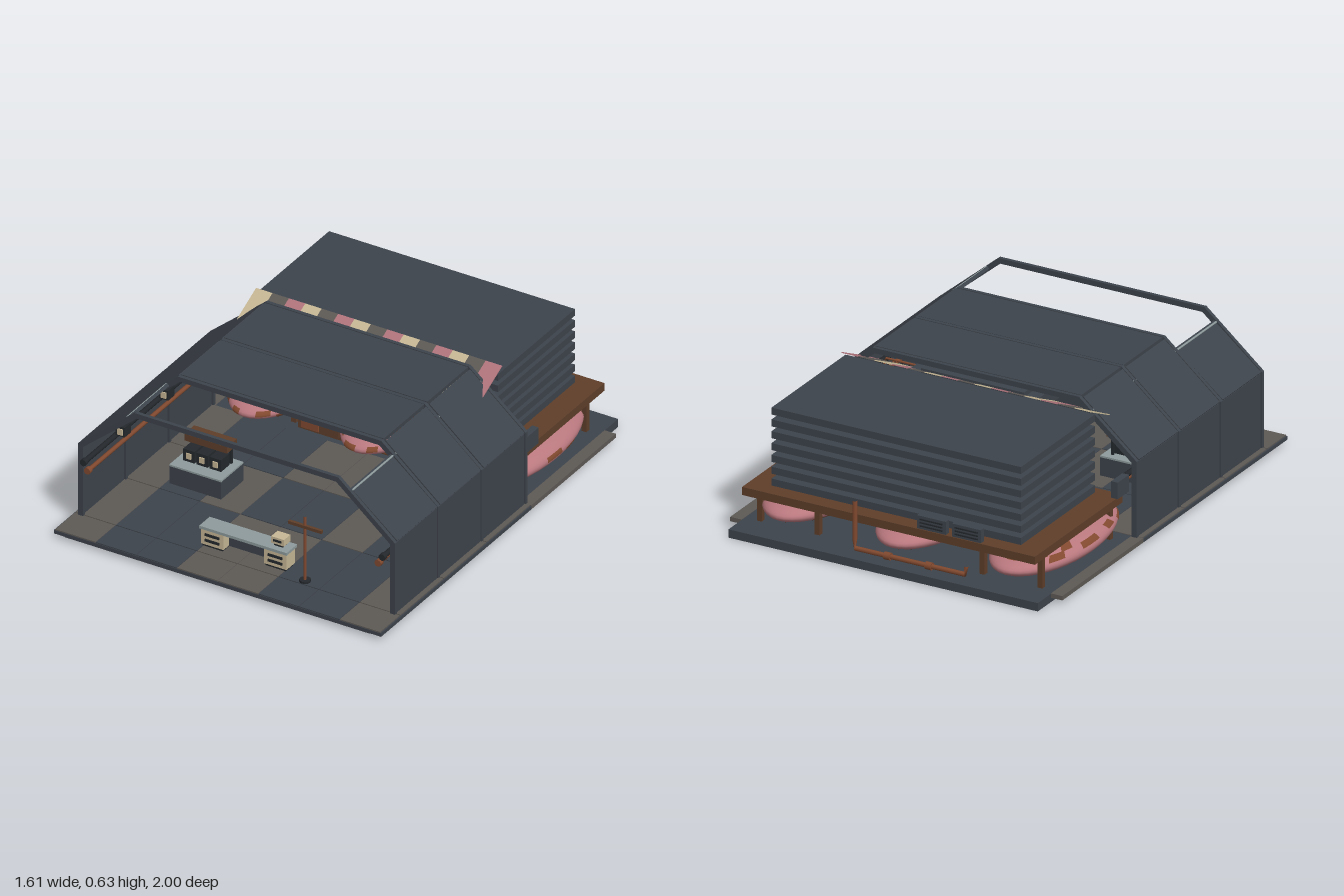
import * as THREE from 'three';

const mat = (name, color, side = THREE.FrontSide) => {
  const m = new THREE.MeshStandardMaterial({ color, side });
  m.name = name;
  return m;
};

export function createModel() {
  const slate = mat('slate', 0x3d434b), dark = mat('charcoal', 0x24282c), tile = mat('warm grey tile', 0x5d5955);
  const brown = mat('brown', 0x5e3e2a), copper = mat('copper', 0x81492f), pink = mat('pink', 0xb9787e);
  const cream = mat('cream', 0xc6b795), grey = mat('pale grey', 0x8d9a9b);
  const clothPink = mat('cloth pink', 0xb0747c, THREE.DoubleSide);
  const clothCream = mat('cloth cream', 0xc6b795, THREE.DoubleSide);
  const model = new THREE.Group();
  model.name = 'fieldHangar';

  const add = (name, geo, m, x = 0, y = 0, z = 0, parent = model) => {
    const mesh = new THREE.Mesh(geo, m);
    mesh.name = name;
    mesh.position.set(x, y, z);
    parent.add(mesh);
    return mesh;
  };
  // box given by its extents
  const box = (name, m, x0, x1, y0, y1, z0, z1) =>
    add(name, new THREE.BoxGeometry(x1 - x0, y1 - y0, z1 - z0), m, (x0 + x1) / 2, (y0 + y1) / 2, (z0 + z1) / 2);
  // bent pipe through straight runs
  const pipe = (name, m, r, pts) => {
    const path = new THREE.CurvePath();
    const v = pts.map(p => new THREE.Vector3(...p));
    for (let i = 1; i < v.length; i++) path.add(new THREE.LineCurve3(v[i - 1], v[i]));
    return add(name, new THREE.TubeGeometry(path, (v.length - 1) * 6, r, 8), m);
  };

  // base slabs and floor tiles
  box('rearPlatform', slate, -0.75, 0.75, 0, 0.038, -1, -0.1);
  box('frontPlatform', slate, -0.75, 0.75, 0.018, 0.034, -0.1, 1);
  box('floorSlab', slate, -0.805, 0.805, 0.02, 0.036, -0.21, 1);
  for (const s of [-1, 1]) {
    const a = s * 0.75, b = s * 0.805;
    box('sideWalkway', tile, Math.min(a, b), Math.max(a, b), 0.02, 0.04, -0.89, -0.21);
  }
  const rows = [[-0.21, 0.14], [0.145, 0.485], [0.49, 0.835], [0.84, 0.998]];
  rows.forEach(([z0, z1], r) => {
    for (let i = 0; i < 8; i++) {
      const x = -0.8 + i * 0.2;
      const warm = i === 0 || i === 7 || (r !== 1 && (i === 3 || i === 4)) || (r === 1 && (i === 2 || i === 5));
      box('floorTile', warm ? tile : slate, x + 0.001, x + 0.199, 0.036, 0.041, z0, z1);
    }
  });

  // hangar frames: one open arch profile extruded at each joint
  const outer = [[-0.78, 0.04], [-0.78, 0.39], [-0.5, 0.627], [0.5, 0.627], [0.78, 0.39], [0.78, 0.04]];
  const inner = [[0.755, 0.04], [0.755, 0.38], [0.49, 0.603], [-0.49, 0.603], [-0.755, 0.38], [-0.755, 0.04]];
  const arch = new THREE.Shape([...outer, ...inner].map(p => new THREE.Vector2(...p)));
  for (const z of [0.83, 0.483, 0.133, -0.222]) {
    add('archFrame', new THREE.ExtrudeGeometry(arch, { depth: 0.017, bevelEnabled: false }), slate, 0, 0, z);
  }

  // hangar skin panels
  const slope = (s, x1, y1, z0, z1) => {
    const x0 = 0.774, y0 = 0.387;
    const p = add('slopedPanel', new THREE.BoxGeometry(Math.hypot(x1 - x0, y1 - y0), 0.014, z1 - z0), slate,
      s * (x0 + x1) / 2, (y0 + y1) / 2, (z0 + z1) / 2);
    p.rotation.z = s * Math.atan2(y1 - y0, x1 - x0 );
    return p;
  };
  [[-0.2, 0.128], [0.153, 0.478], [0.503, 0.825]].forEach(([z0, z1], i) => {
    for (const s of [-1, 1]) {
      box('wallPanel', slate, s > 0 ? 0.762 : -0.776, s > 0 ? 0.776 : -0.762, 0.04, 0.385, z0, z1);
      slope(s, i === 2 ? 0.545 : 0.505, i === 2 ? 0.575 : 0.615, z0, z1);
    }
    if (i < 2) box('roofPanel', slate, -0.5, 0.5, 0.61, 0.627, z0, z1);
  });

  // wall pipes, lamps and end boxes on both sides
  for (const s of [-1, 1]) {
    pipe('roofRail', grey, 0.005, [[s * 0.557, 0.572, -0.22], [s * 0.557, 0.572, 0.83]]);
    pipe('upperWallPipe', dark, 0.012, [[s * 0.735, 0.325, -0.25], [s * 0.735, 0.325, 0.88]]);
    pipe('lowerWallPipe', copper, 0.01, [[s * 0.715, 0.29, -0.25], [s * 0.715, 0.29, 0.88]]);
    for (const y of [0.325, 0.29]) {
      add('pipeCap', new THREE.CylinderGeometry(0.016, 0.016, 0.02, 10), y > 0.3 ? dark : copper, s * (y > 0.3 ? 0.735 : 0.715), y, 0.87)
        .rotation.x = Math.PI / 2;
    }
    box('junctionBox', slate, s * 0.743 - 0.016, s * 0.743 + 0.016, 0.262, 0.338, -0.345, -0.25);
    for (const z of [0.65, 0.3, -0.05]) {
      box('lampHousing', dark, s * 0.68 - 0.022, s * 0.68 + 0.022, 0.365, 0.412, z - 0.03, z + 0.02);
      box('lampFace', cream, s * 0.68 - 0.013, s * 0.68 + 0.013, 0.373, 0.402, z + 0.02, z + 0.025);
      pipe('lampArm', dark, 0.005, [[s * 0.7, 0.39, z], [s * 0.76, 0.39, z]]);
    }
  }

  // soft bladders with darker patches under the rear deck
  for (const x of [-0.55, 0, 0.55]) {
    const bladder = new THREE.Group();
    bladder.name = 'bladder';
    bladder.position.set(x, 0.113, -0.52);
    bladder.scale.set(0.2, 0.072, 0.42);
    model.add(bladder);
    add('bladderBody', new THREE.SphereGeometry(1, 40, 24), pink, 0, 0, 0, bladder);
    for (let i = 0; i < 14; i++) {
      const phi = i * 2.4 + x, th = 0.75 + ((i * 7) % 5) * 0.28;
      add('bladderPatch', new THREE.SphereGeometry(1.008, 8, 6, phi, 0.2 + (i % 3) * 0.06, th, 0.3), copper, 0, 0, 0, bladder);
    }
  }

  // wooden deck, its front cabinets and posts
  box('deck', brown, -0.71, 0.71, 0.188, 0.225, -0.955, -0.22);
  box('cabinetRow', brown, -0.36, 0.36, 0.04, 0.188, -0.3, -0.24);
  for (let i = 0; i < 7; i++) {
    const x = -0.35 + i * 0.1;
    box('cabinetDoor', i % 2 ? brown : copper, x + 0.008, x + 0.092, 0.05, 0.178, -0.24, -0.234);
  }
  for (const x of [-0.68, -0.4, 0.4, 0.68]) for (const z of [-0.28, -0.85])
    box('deckPost', brown, x - 0.012, x + 0.012, 0.038, 0.19, z - 0.012, z + 0.012);

  // stacked slabs
  for (let i = 0; i < 7; i++) {
    const y = 0.246 + i * 0.0545;
    box('stackedSlab', slate, -0.605, 0.605, y - 0.016, y + 0.016, -0.89, -0.268);
  }
  // rear wall panels inside the hangar
  box('backPanel', slate, -0.39, 0.39, 0.345, 0.52, -0.255, -0.23);
  box('upperPanel', slate, -0.31, 0.31, 0.515, 0.58, -0.25, -0.06);
  box('panelCap', slate, -0.25, 0.25, 0.58, 0.6, -0.25, -0.06);
  box('sidePanel', slate, -0.525, -0.3, 0.395, 0.44, -0.255, -0.215);
  box('woodenHatch', brown, -0.11, 0.22, 0.235, 0.345, -0.262, -0.235);
  box('hatchSill', slate, -0.12, 0.225, 0.225, 0.238, -0.265, -0.215);

  // striped sloping awning
  const stripes = [clothCream, tile, clothPink];
  const n = 15, w = 1.21 / n;
  for (let i = 0; i < n; i++) {
    const s = add('awningStripe', new THREE.BoxGeometry(w, 0.004, 0.21), stripes[i % 3], -0.605 + (i + 0.5) * w, 0.568, -0.208);
    s.rotation.x = Math.atan2(0.09, 0.19);
  }

  // rear pipework and vents
  pipe('rearPipe', copper, 0.011, [[0.16, 0.29, -0.96], [0.16, 0.07, -0.96], [-0.38, 0.07, -0.96], [-0.38, 0.11, -0.96]]);
  for (const x of [-0.2, 0]) add('pipeJoint', new THREE.CylinderGeometry(0.017, 0.017, 0.03, 10), copper, x, 0.07, -0.96).rotation.z = Math.PI / 2;
  for (const x of [-0.375, -0.205]) {
    box('rearVent', slate, x - 0.07, x + 0.07, 0.225, 0.285, -0.95, -0.925);
    for (const y of [0.24, 0.255, 0.27]) box('ventSlot', dark, x - 0.055, x + 0.055, y - 0.003, y + 0.003, -0.954, -0.95);
  }

  // console with three small units and a wooden shelf
  box('consoleBase', slate, -0.585, -0.33, 0.04, 0.125, 0.25, 0.43);
  box('consoleTop', grey, -0.585, -0.33, 0.125, 0.133, 0.25, 0.43);
  for (const x of [-0.525, -0.46, -0.395]) {
    box('consoleUnit', dark, x - 0.028, x + 0.028, 0.133, 0.19, 0.3, 0.37);
    box('unitFace', cream, x - 0.012, x + 0.012, 0.148, 0.175, 0.37, 0.375);
  }
  box('shelf', brown, -0.56, -0.35, 0.218, 0.25, 0.27, 0.35);
  for (const x of [-0.54, -0.37]) box('shelfPost', dark, x - 0.006, x + 0.006, 0.13, 0.22, 0.28, 0.292);

  // workbench
  box('benchTop', grey, -0.215, 0.215, 0.125, 0.138, 0.71, 0.795);
  box('benchBack', slate, -0.2, 0.2, 0.05, 0.125, 0.715, 0.745);
  for (const s of [-1, 1]) {
    const x = s * 0.155;
    box('benchDrawers', cream, x - 0.055, x + 0.055, 0.05, 0.125, 0.72, 0.788);
    for (const y of [0.073, 0.1]) box('drawerSlot', dark, x - 0.035, x + 0.035, y - 0.006, y + 0.006, 0.788, 0.792);
    box('benchFoot', dark, x - 0.05, x + 0.05, 0.04, 0.05, 0.725, 0.785);
  }
  box('benchDevice', cream, 0.125, 0.188, 0.15, 0.182, 0.72, 0.772);
  box('deviceFoot', dark, 0.135, 0.178, 0.138, 0.15, 0.73, 0.765);
  box('deviceSlot', dark, 0.137, 0.176, 0.162, 0.172, 0.772, 0.775);

  // signal post
  pipe('post', copper, 0.007, [[0.315, 0.04, 0.81], [0.315, 0.36, 0.81]]);
  box('postArm', brown, 0.235, 0.4, 0.302, 0.316, 0.804, 0.818);
  add('postFoot', new THREE.CylinderGeometry(0.025, 0.025, 0.01, 12), dark, 0.315, 0.045, 0.81);

  // locker with cream doors, tool rack above
  box('locker', slate, 0.42, 0.637, 0.04, 0.24, 0, 0.2);
  for (const x of [0.475, 0.58]) {
    box('lockerDoor', cream, x - 0.046, x + 0.046, 0.072, 0.162, 0.2, 0.207);
    box('doorHandle', dark, x - 0.015, x + 0.015, 0.145, 0.151, 0.207, 0.21);
  }
  pipe('rackFrame', copper, 0.005, [[0.42, 0.24, 0.1], [0.42, 0.425, 0.1], [0.63, 0.425, 0.1], [0.63, 0.24, 0.1]]);
  pipe('rackBar', dark, 0.005, [[0.42, 0.315, 0.1], [0.63, 0.315, 0.1]]);
  for (let i = 0; i < 6; i++) {
    const x = 0.438 + i * 0.035;
    add('toolLoop', new THREE.TorusGeometry(0.016, 0.004, 6, 14), dark, x, 0.36, 0.1).scale.y = 1.8;
    pipe('hook', dark, 0.003, [[x, 0.388, 0.1], [x, 0.425, 0.1]]);
    box('hangingTool', i % 2 ? copper : grey, x - 0.006, x + 0.006, 0.255, 0.31, 0.095, 0.105);
  }
  return model;
}
